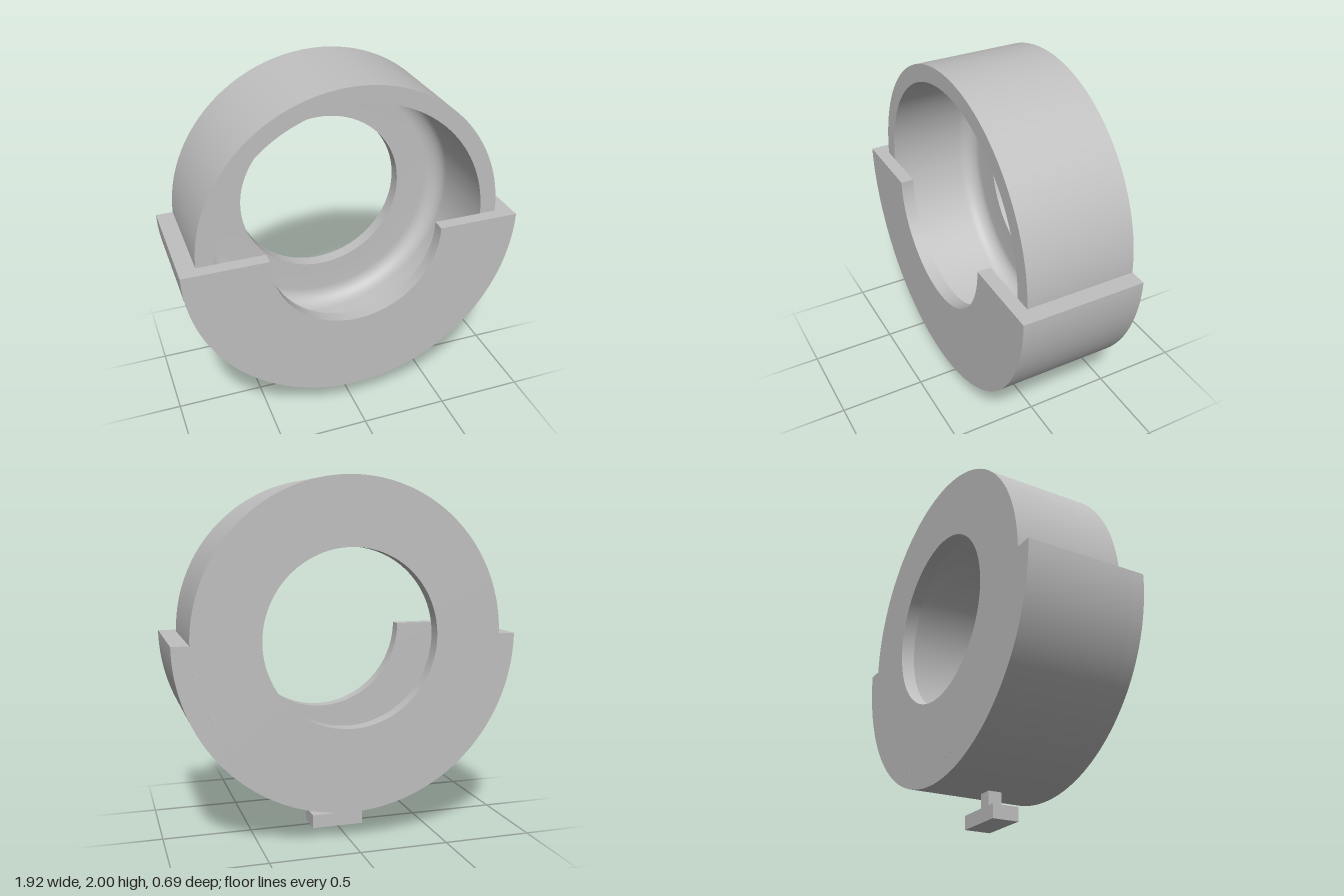
import * as THREE from 'three';
import { toCreasedNormals } from 'three/addons/utils/BufferGeometryUtils.js';

const CENTRE_Y = 1.135;
const OUTER = 0.96, CUP = 0.865, INNER = 0.77, HOLE = 0.49;
const BACK = -0.345, RIM = 0.27, FRONT = 0.345, FLOOR = -0.265;
const FILLET = 0.1;

// Lower half of a flat ring, extruded from z0 to z1
function halfRing(inner, outer, z0, z1) {
  const shape = new THREE.Shape();
  shape.absarc(0, 0, outer, Math.PI, Math.PI * 2, false);
  shape.absarc(0, 0, inner, Math.PI * 2, Math.PI, true);
  shape.closePath();
  const geometry = new THREE.ExtrudeGeometry(shape, { depth: z1 - z0, bevelEnabled: false, curveSegments: 64 });
  geometry.translate(0, 0, z0);
  return toCreasedNormals(geometry, 0.5);
}

// Full round cup with a holed floor and a filleted inner corner
function cupGeometry() {
  const points = [[HOLE, BACK], [CUP, BACK], [CUP, RIM], [INNER, RIM]];
  for (let i = 0; i <= 10; i++) {
    const a = (i / 10) * Math.PI / 2;
    points.push([INNER - FILLET + FILLET * Math.cos(a), FLOOR + FILLET - FILLET * Math.sin(a)]);
  }
  points.push([HOLE, FLOOR], [HOLE, BACK]);
  const geometry = new THREE.LatheGeometry(points.map(([r, z]) => new THREE.Vector2(r, z)), 128);
  geometry.rotateX(Math.PI / 2);
  return toCreasedNormals(geometry, 0.5);
}

export function createModel() {
  const grey = new THREE.MeshStandardMaterial({ color: 0xc0c0c0 });
  grey.name = 'light grey';
  const model = new THREE.Group();
  model.name = 'ringHousing';

  const add = (name, geometry, y) => {
    const mesh = new THREE.Mesh(geometry, grey);
    mesh.name = name;
    mesh.position.y = y;
    model.add(mesh);
  };

  add('cup', cupGeometry(), CENTRE_Y);
  add('lowerJacket', halfRing(CUP, OUTER, BACK, RIM), CENTRE_Y);
  add('frontPlate', halfRing(HOLE, OUTER, RIM, FRONT), CENTRE_Y);

  // Stem and foot below the housing
  add('stem', new THREE.BoxGeometry(0.08, 0.12, 0.08), 0.135);
  add('foot', new THREE.BoxGeometry(0.3, 0.077, 0.152), 0.0385);
  return model;
}
